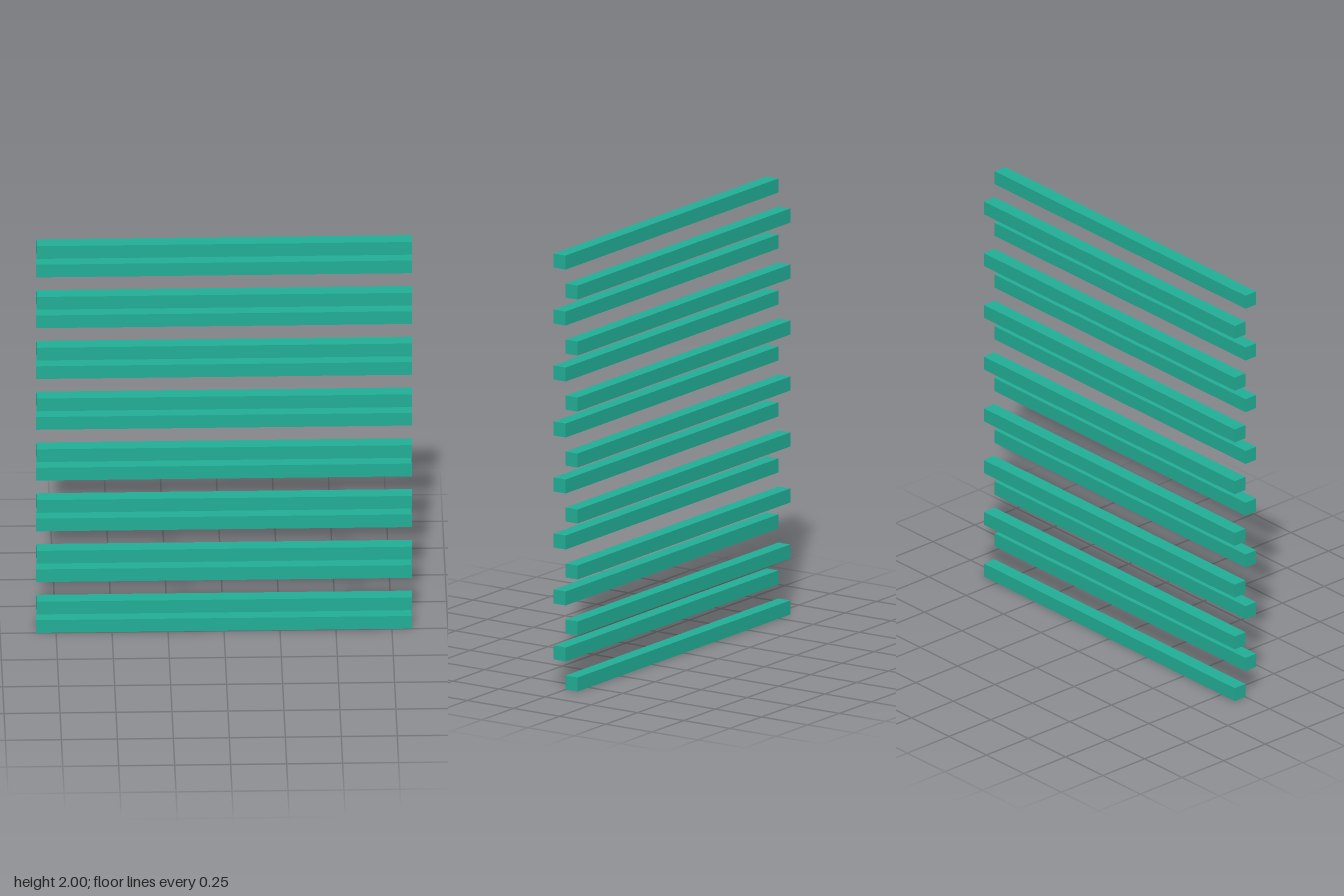
import * as THREE from 'three';

const COUNT = 16;
const SIZE = 2 / (2 * COUNT - 1); // square slat section, gaps equal to the slat height
const WIDTH = 26 * SIZE;

export function createModel() {
  const group = new THREE.Group();
  group.name = 'slattedScreen';
  const teal = new THREE.MeshStandardMaterial({ color: 0x22ae96 });
  teal.name = 'teal';
  const geometry = new THREE.BoxGeometry(WIDTH, SIZE, SIZE);

  // Horizontal slats, alternating between the back and front layers from the bottom up
  for (let i = 0; i < COUNT; i++) {
    const front = i % 2 === 1;
    const slat = new THREE.Mesh(geometry, teal);
    slat.name = `${front ? 'front' : 'back'}Slat${Math.floor(i / 2) + 1}`;
    slat.position.set(0, SIZE * (2 * i + 0.5), (front ? 0.5 : -0.5) * SIZE);
    group.add(slat);
  }
  return group;
}
